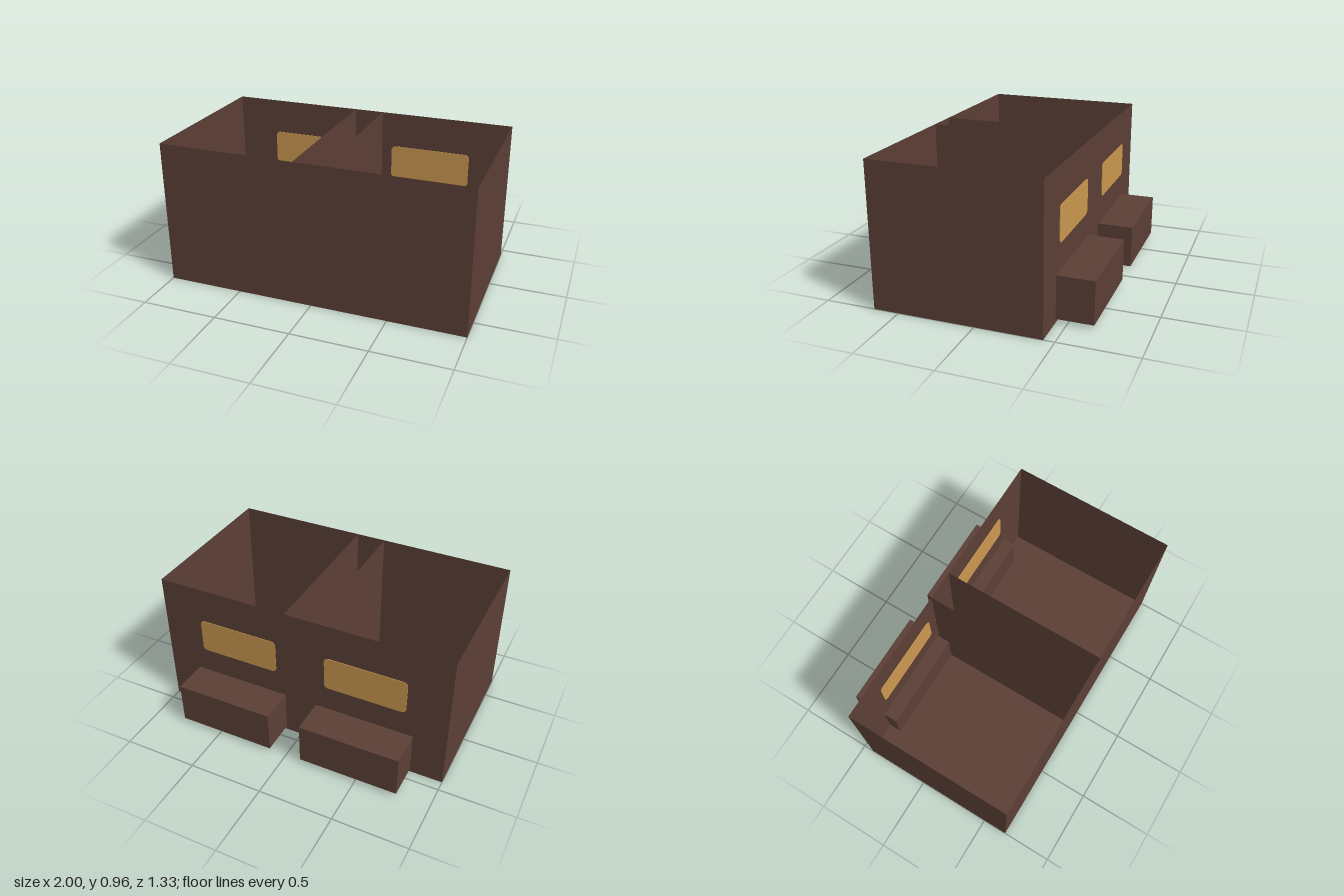
import * as THREE from 'three';

const H = 0.957, FRONT = 0.667, BACK = -0.43, MID = (FRONT + BACK) / 2, DEPTH = FRONT - BACK;

export function createModel() {
  const model = new THREE.Group();
  const brown = new THREE.MeshStandardMaterial({ color: 0x5d4037, side: THREE.DoubleSide });
  brown.name = 'darkBrown';
  const amber = new THREE.MeshStandardMaterial({ color: 0xcc9950 });
  amber.name = 'amberGlass';

  const add = (name, geometry, material, x, y, z) => {
    const mesh = new THREE.Mesh(geometry, material);
    mesh.name = name;
    mesh.position.set(x, y, z);
    model.add(mesh);
  };

  // Open-topped shell of thin panels
  add('floor', new THREE.PlaneGeometry(2, DEPTH).rotateX(-Math.PI / 2), brown, 0, 0, MID);
  add('frontWall', new THREE.PlaneGeometry(2, H), brown, 0, H / 2, FRONT);
  add('backWall', new THREE.PlaneGeometry(2, H).rotateY(Math.PI), brown, 0, H / 2, BACK);

  // Rounded window pane, showing on both faces of the back wall
  const w = 0.277, h = 0.118, r = 0.03, t = 0.008;
  const pane = new THREE.Shape();
  pane.moveTo(-w + r, -h);
  pane.absarc(w - r, -h + r, r, -Math.PI / 2, 0);
  pane.absarc(w - r, h - r, r, 0, Math.PI / 2);
  pane.absarc(-w + r, h - r, r, Math.PI / 2, Math.PI);
  pane.absarc(-w + r, -h + r, r, Math.PI, Math.PI * 1.5);
  const paneGeometry = new THREE.ExtrudeGeometry(pane, { depth: t, bevelEnabled: false, curveSegments: 6 });

  for (const [side, s] of [['left', 1], ['right', -1]]) {
    const panel = new THREE.PlaneGeometry(DEPTH, H).rotateY(s * Math.PI / 2);
    add(side + 'Wall', panel, brown, s, H / 2, MID);
    // Paired partitions with an open gap between them
    add(side + 'Partition', panel, brown, s * 0.1, H / 2, MID);
    // Box passing through the back wall
    add(side + 'RearBox', new THREE.BoxGeometry(0.67, 0.282, 0.329), brown, s * 0.447, 0.166, -0.5025);
    add(side + 'Window', paneGeometry, amber, s * 0.449, 0.599, BACK - t / 2);
  }
  return model;
}
